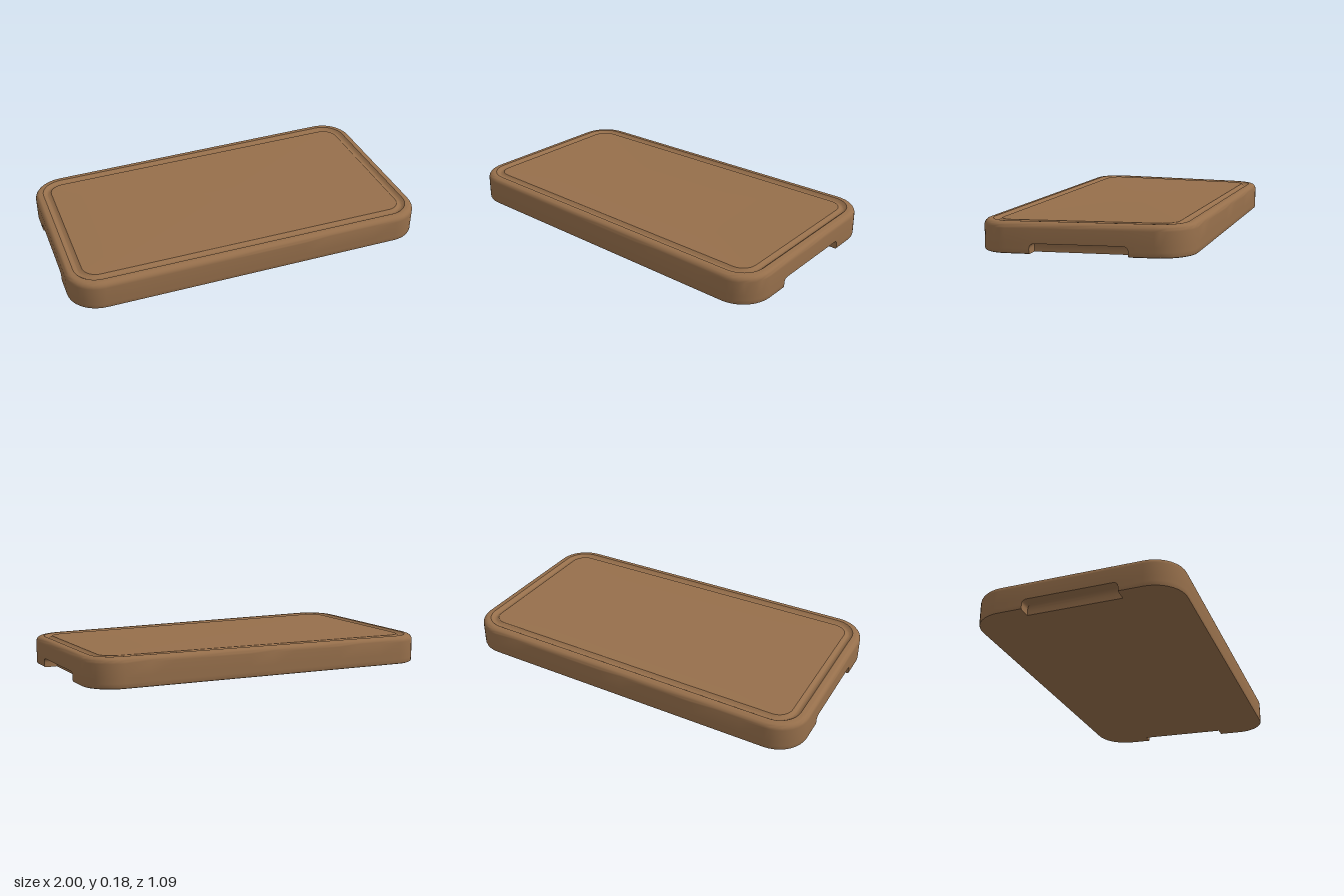
import * as THREE from 'three';
import { toCreasedNormals } from 'three/addons/utils/BufferGeometryUtils.js';

const HX = 1.0, HZ = 0.545, CORNER = 0.17;

// Slight warp of the wooden slab
const warp = (x, z) => {
  const u = x / HX, v = z / HZ;
  return 0.0125 + 0.0048 * u - 0.003 * v - 0.0103 * u * v;
};

// Rounded-rectangle outline, counterclockwise from above, with a finger notch in each end.
// Points are [x, -z]; depth 0 gives a plain end.
function outline(inset, halfWidth, depth) {
  const hx = HX - inset, hz = HZ - inset, r = CORNER - inset;
  const out = hx, inner = depth > 0 ? HX - depth : hx;
  const half = [
    [inner, 0], [inner, halfWidth * 0.5], [inner, halfWidth], [out, halfWidth],
  ];
  for (let i = 0; i <= 9; i++) {
    const a = (i / 9) * Math.PI / 2;
    half.push([hx - r + r * Math.cos(a), hz - r + r * Math.sin(a)]);
  }
  for (let i = 1; i <= 6; i++) half.push([(hx - r) * (1 - i / 6), hz]);
  // Mirror the quarter to the other end, then turn it for the other side
  const mirrored = half.slice(0, -1).reverse().map(([x, y]) => [-x, y]);
  const top = [...half, ...mirrored];
  const bottom = top.slice(1, -1).reverse().map(([x, y]) => [x, -y]);
  return [...top, ...bottom];
}

function boardGeometry() {
  const rings = [];
  const add = (inset, y, halfWidth = 0.225, depth = 0) =>
    rings.push({ y, pts: outline(inset, halfWidth, depth) });

  // Base edge and the straight part of the notches
  add(0.008, 0, 0.25, 0.07);
  add(0.002, 0.003, 0.25, 0.07);
  add(0, 0.009, 0.25, 0.07);
  // Coved notch ceiling
  const cove = 0.025;
  for (let i = 0; i <= 5; i++) {
    const a = (i / 5) * Math.PI / 2, s = cove * (1 - Math.cos(a));
    add(0, 0.027 + cove * Math.sin(a), 0.25 - s, 0.07 - s);
  }
  add(0, 0.052);
  // Side wall and rounded upper edge
  for (let i = 0; i <= 6; i++) {
    const a = (i / 6) * Math.PI / 2;
    add(0.03 * (1 - Math.cos(a)), 0.125 + 0.03 * Math.sin(a));
  }
  // Juice groove around the top
  add(0.044, 0.155);
  for (let i = 1; i <= 8; i++) {
    const t = i / 8;
    add(0.044 + 0.046 * t, 0.155 - 0.012 * Math.sin(Math.PI * t) - 0.002 * t);
  }

  const pos = [];
  const vertex = (ring, i) => {
    const [x, y] = ring.pts[i];
    return [x, ring.y + warp(x, -y), -y];
  };
  const tri = (...corners) => corners.forEach((c) => pos.push(...c));
  const n = rings[0].pts.length;
  for (let k = 0; k < rings.length - 1; k++) {
    for (let i = 0; i < n; i++) {
      const j = (i + 1) % n;
      const a = vertex(rings[k], i), b = vertex(rings[k], j);
      const c = vertex(rings[k + 1], i), d = vertex(rings[k + 1], j);
      tri(a, b, d);
      tri(a, d, c);
    }
  }
  // Cutting surface
  const last = rings[rings.length - 1];
  const centre = [0, last.y + warp(0, 0), 0];
  for (let i = 0; i < n; i++) tri(centre, vertex(last, i), vertex(last, (i + 1) % n));
  // Underside
  const base = rings[0];
  const flat = base.pts.map(([x, y]) => new THREE.Vector2(x, y));
  for (const [a, b, c] of THREE.ShapeUtils.triangulateShape(flat, [])) {
    tri(vertex(base, a), vertex(base, c), vertex(base, b));
  }

  const geometry = new THREE.BufferGeometry();
  geometry.setAttribute('position', new THREE.Float32BufferAttribute(pos, 3));
  return toCreasedNormals(geometry, 0.55);
}

export function createModel() {
  const wood = new THREE.MeshStandardMaterial({ color: 0x966f4b });
  wood.name = 'wood';
  const group = new THREE.Group();
  group.name = 'cuttingBoard';
  const board = new THREE.Mesh(boardGeometry(), wood);
  board.name = 'board';
  group.add(board);
  return group;
}
